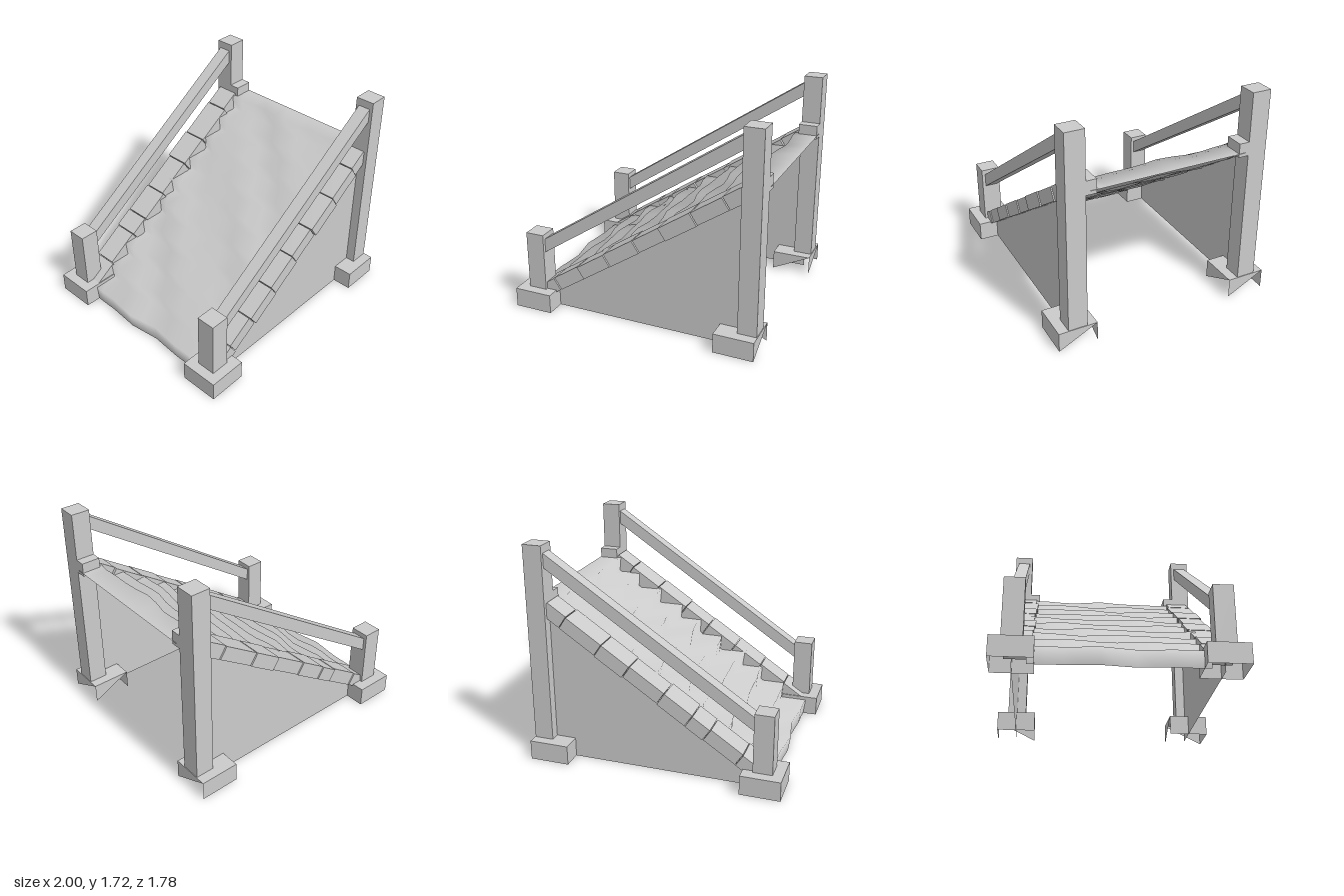
import * as THREE from 'three';

const material = new THREE.MeshStandardMaterial({ color: 0xcccccc, side: THREE.DoubleSide });

function add(parent, name, geometry, x = 0, y = 0, z = 0) {
  const mesh = new THREE.Mesh(geometry, material);
  mesh.name = name;
  mesh.position.set(x, y, z);
  parent.add(mesh);
  return mesh;
}

// Box given by its extents
function addBox(parent, name, x0, x1, y0, y1, z0, z1) {
  const g = new THREE.BoxGeometry(x1 - x0, y1 - y0, z1 - z0);
  return add(parent, name, g, (x0 + x1) / 2, (y0 + y1) / 2, (z0 + z1) / 2);
}

// Drop single triangles from a box (two per face; face order +x -x +y -y +z -z)
function dropTriangles(mesh, drop) {
  const index = Array.from(mesh.geometry.index.array);
  mesh.geometry.clearGroups();
  mesh.geometry.setIndex(index.filter((_, i) => !drop.includes(Math.floor(i / 3))));
}

const shapeOf = (points) => new THREE.Shape(points.map(([x, y]) => new THREE.Vector2(x, y)));

// Smooth flight of worn steps: a folded sheet with wavy nosings
function stairGeometry() {
  const steps = 10, rise = 0.126, run = 0.19, cols = 10, half = 0.63;
  const rows = [];
  for (let i = 0; i < steps; i++) {
    const x = -0.895 + i * run;
    rows.push([x + 0.012, i * rise, i, 0.016], [x, (i + 1) * rise, i, 0.022]);
  }
  rows.push([1, steps * rise, 0, 0]);
  const pos = [], index = [];
  rows.forEach(([x, y, step, amp], r) => {
    for (let c = 0; c <= cols; c++) {
      const z = -half + (2 * half * c) / cols;
      const wave = Math.sin(z * 8.5 + step * 1.9) * 0.7 + Math.sin(z * 15 + step * 2.7) * 0.4;
      pos.push(x + amp * wave, y, z);
      if (r && c) {
        const d = r * (cols + 1) + c, b = d - cols - 1;
        index.push(b - 1, b, d - 1, b, d, d - 1);
      }
    }
  });
  const g = new THREE.BufferGeometry();
  g.setAttribute('position', new THREE.Float32BufferAttribute(pos, 3));
  g.setIndex(index);
  g.computeVertexNormals();
  return g;
}

// Sloping row of coping blocks, slightly uneven in width
function addCoping(parent, side, cuts) {
  const slope = 0.664, angle = Math.atan(slope);
  for (let i = 0; i < cuts.length - 1; i++) {
    const a = cuts[i], b = cuts[i + 1], mid = (a + b) / 2;
    const inner = 0.585 + 0.008 * ((i * 2) % 3), outer = 0.78 + 0.007 * ((i * 5 + 1) % 3);
    const height = 0.106 + 0.005 * (i % 2);
    const g = new THREE.BoxGeometry((b - a) / Math.cos(angle) - 0.006, height, outer - inner);
    const block = add(parent, 'copingBlock', g, mid, 0.661 + slope * mid, side * (inner + outer) / 2);
    block.rotation.z = angle;
  }
}

export function createModel() {
  const model = new THREE.Group();
  model.name = 'staircase';
  add(model, 'steps', stairGeometry());

  for (const side of [1, -1]) {
    const flank = new THREE.Group();
    flank.name = side > 0 ? 'leftSide' : 'rightSide';
    model.add(flank);
    const z = 0.733 * side;

    // Footings: open below, the tall post's footing broken on two faces
    const innerFace = side > 0 ? 11 : 9;
    const low = addBox(flank, 'lowFooting', -1, -0.69, 0, 0.155, z - 0.155, z + 0.155);
    dropTriangles(low, [6, 7]);
    const high = addBox(flank, 'highFooting', 0.685, 1, 0, 0.155, z - 0.155, z + 0.155);
    dropTriangles(high, [1, 6, 7, innerFace]);

    // Posts
    addBox(flank, 'lowPost', -0.92, -0.77, 0.155, 0.627, z - 0.076, z + 0.076);
    addBox(flank, 'highPost', 0.845, 0.995, 0.155, 1.723, z - 0.076, z + 0.076);
    addBox(flank, 'topStub', 0.845, 0.995, 1.23, 1.34, side * 0.617 - 0.041, side * 0.617 + 0.041);

    // Handrail with upright ends against the posts
    const rail = shapeOf([[-0.77, 0.475], [0.845, 1.55], [0.845, 1.662], [-0.77, 0.587]]);
    const railGeometry = new THREE.ExtrudeGeometry(rail, { depth: 0.1, bevelEnabled: false });
    add(flank, 'handrail', railGeometry, 0, 0, z - 0.05);

    // Thin side wall under the coping
    const wall = shapeOf([[-0.845, 0], [0.92, 0], [0.92, 1.25], [-0.845, 0.08]]);
    add(flank, 'sideWall', new THREE.ShapeGeometry(wall), 0, 0, z);

    addCoping(flank, side, side > 0
      ? [-0.85, -0.675, -0.46, -0.225, 0.02, 0.235, 0.485, 0.725, 0.87]
      : [-0.85, -0.66, -0.41, -0.27, -0.05, 0.22, 0.44, 0.72, 0.87]);
  }
  return model;
}
